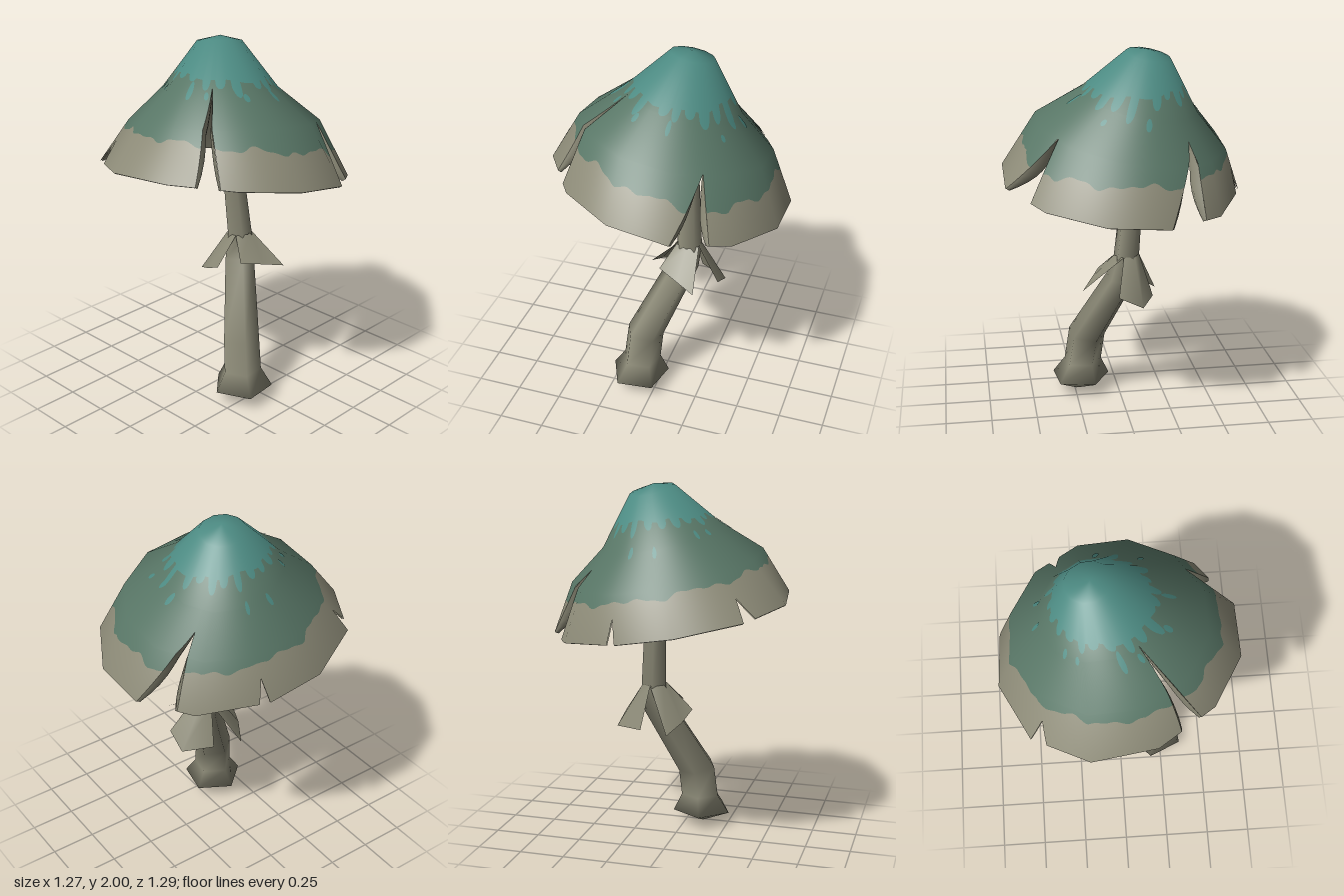
import * as THREE from 'three';

const V = (x, y, z) => new THREE.Vector3(x, y, z);
const RAD = Math.PI / 180;
const clamp = THREE.MathUtils.clamp;

// Cap rings from crown to shoulder: centre x, y, z, radius, tilt along x, tilt along z
const RINGS = [
  [-0.13, 2.0, -0.085, 0, 0, 0],
  [-0.14, 1.97, -0.09, 0.12, 0.17, 0.17],
  [-0.1, 1.73, -0.055, 0.31, 0.18, 0.19],
  [-0.05, 1.56, -0.035, 0.515, 0.14, 0.15],
];
// Uneven rim corners (x, z), starting at +x and turning towards +z
const RIM = [
  [0.635, 0.11], [0.47, 0.39], [0.165, 0.595], [-0.18, 0.64], [-0.48, 0.485], [-0.64, 0.165],
  [-0.63, -0.15], [-0.455, -0.48], [-0.165, -0.65], [0.155, -0.65], [0.45, -0.49], [0.635, -0.21],
];
const SIDES = 12, COLS = 720;

// Tears in the rim: tip angle, tip height on the cap, edge angles at the rim, curl depth and reach
const TEARS = [
  { tip: 327, v: 2.97, lo: 326, hi: 344.5, lip: 0.06, reach: 0.18 },
  { tip: 53, v: 2.0, lo: 52.5, hi: 63, lip: 0.06, reach: 0.25 },
  { tip: 131, v: 3.5, lo: 127, hi: 135, lip: 0 },
  { tip: 196, v: 3.45, lo: 194.5, hi: 199, lip: 0 },
  { tip: 235.5, v: 2.47, lo: 234, hi: 254.5, lip: 0.06, reach: 0.2 },
];

function corner(j, k) {
  if (j === RINGS.length) {
    const [x, z] = RIM[(k + SIDES) % SIDES];
    return V(x, 1.3 + 0.07 * x + 0.17 * z, z);
  }
  const [x, y, z, r, sx, sz] = RINGS[j];
  const a = (15 + (k * 360) / SIDES) * RAD;
  const dx = r * Math.cos(a), dz = r * Math.sin(a);
  return V(x + dx, y + dx * sx + dz * sz, z + dz);
}

function cornerNormal(j, k) {
  if (j === 0) return V(-0.1, 1, -0.15).normalize();
  const around = corner(j, k + 1).sub(corner(j, k - 1));
  const n = V(0, 0, 0);
  for (const [a, b] of [[j - 1, j], [j, j + 1]]) {
    if (b > RINGS.length) continue;
    n.add(around.clone().cross(corner(b, k).sub(corner(a, k))).normalize());
  }
  return n.normalize();
}

// Blend a corner function over the twelve-sided cap
function blend(fn, deg, v) {
  const u = (deg - 15) / (360 / SIDES), k = Math.floor(u), j = Math.min(Math.floor(v), 3);
  const row = (i) => fn(i, k).lerp(fn(i, k + 1), u - k);
  return row(j).lerp(row(j + 1), v - j);
}
const capPoint = (deg, v) => blend(corner, deg, v);
const capNormal = (deg, v) => blend(cornerNormal, deg, v).normalize();

// Where the cap ends at each angle, allowing for the tears
function rimEnd(deg) {
  for (const t of TEARS) {
    if (deg <= t.lo || deg >= t.hi) continue;
    const f = deg < t.tip ? (t.tip - deg) / (t.tip - t.lo) : (deg - t.tip) / (t.hi - t.tip);
    return t.v + (4 - t.v) * f;
  }
  return 4;
}

// Drips round the crown patch: angle, length, half width
const DRIPS = [
  [3, 0.15, 4], [29, 0.38, 3.5], [45, 0.2, 4], [60, 0.22, 3], [78, 0.1, 4], [95, 0.12, 4], [108, 0.18, 3],
  [124, 0.1, 4], [140, 0.2, 4], [157, 0.15, 4], [176, 0.15, 4], [196, 0.3, 3.5], [214, 0.15, 4], [229, 0.25, 4],
  [246, 0.12, 4], [262, 0.22, 4], [289, 0.5, 3.5], [306, 0.28, 4], [322, 0.3, 4], [337, 0.15, 4], [351, 0.25, 3],
];
function crownEdge(deg) {
  const a = deg * RAD;
  let v = 1.67 + 0.2 * Math.cos(a) + 0.06 * Math.sin(a) + 0.03 * Math.sin(7 * a);
  for (const [at, len, w] of DRIPS) {
    const off = Math.abs(((deg - at + 540) % 360) - 180) / (w * 1.4);
    if (off < 1) v += len * Math.sqrt(1 - off * off);
  }
  return v;
}
const bandEdge = (deg) => {
  const a = deg * RAD;
  return 3.28 + 0.12 * Math.cos(a) - 0.075 * Math.sin(a) + 0.1 * Math.exp(-(((deg - 325) / 22) ** 2))
    + 0.04 * Math.sin(9 * a) + 0.03 * Math.sin(17 * a + 2) + 0.02 * Math.sin(31 * a);
};

function buffer(pos, idx, norm) {
  const g = new THREE.BufferGeometry();
  g.setAttribute('position', new THREE.Float32BufferAttribute(pos, 3));
  g.setIndex(idx);
  if (norm) g.setAttribute('normal', new THREE.Float32BufferAttribute(norm, 3));
  else g.computeVertexNormals();
  return g;
}

// A band of the cap between two edges; the underside is flipped and set inwards
function capBand(from, to, under = false) {
  const pos = [], norm = [], idx = [], vs = [], ROWS = 5;
  for (let i = 0; i <= COLS; i++) {
    const deg = (i * 360) / COLS, end = rimEnd(deg);
    const a = Math.min(from(deg), end), b = Math.min(to(deg), end);
    for (const s of [a, 1, 2, 3, b]) {
      const v = clamp(s, a, b), n = capNormal(deg, v), p = capPoint(deg, v);
      if (under) { p.addScaledVector(n, -0.008); n.negate(); }
      pos.push(...p); norm.push(...n); vs.push(v);
    }
  }
  for (let i = 0; i < COLS; i++) for (let r = 0; r < ROWS - 1; r++) {
    const a = i * ROWS + r, b = a + ROWS;
    const add = (x, y, z) => idx.push(...(under ? [x, z, y] : [x, y, z]));
    if (vs[a] !== vs[a + 1]) add(a, b, a + 1);
    if (vs[b] !== vs[b + 1]) add(b, b + 1, a + 1);
  }
  return buffer(pos, idx, norm);
}

// Small oval splash lying on the cap
function splash(deg, v, da, dv) {
  const pos = [], norm = [], idx = [], n = 12;
  for (let i = 0; i <= n; i++) {
    const t = (i / n) * Math.PI * 2, k = i === n ? 0 : 1;
    const a = deg + k * da * Math.cos(t), w = v + k * dv * Math.sin(t), nn = capNormal(a, w);
    pos.push(...capPoint(a, w).addScaledVector(nn, 0.003)); norm.push(...nn);
    if (i < n) idx.push(n, i, (i + 1) % n);
  }
  return buffer(pos, idx, norm);
}

// Curled lip on one edge of a tear: into the gap, then rolled back under the cap
function tearLip(t, edge) {
  const pos = [], idx = [], n = 8, other = edge === t.lo ? t.hi : t.lo;
  for (let i = 0; i <= n; i++) {
    const f = i / n, v = t.v + (4 - t.v) * f;
    const a = t.tip + (edge - t.tip) * f, b = t.tip + (other - t.tip) * f;
    const p = capPoint(a, v), gap = capPoint(b, v).sub(p), nn = capNormal(a, v);
    const s = Math.sin(Math.PI * Math.min(1, f * 0.85 + 0.05));
    for (const [side, depth] of [[0, 0], [1, 0.6], [0.2, 1.2]]) {
      pos.push(...p.clone().addScaledVector(gap, side * t.reach * s).addScaledVector(nn, -depth * t.lip * s));
    }
    if (i < n) for (const q of [3 * i, 3 * i + 1]) idx.push(q, q + 1, q + 3, q + 1, q + 4, q + 3);
  }
  return buffer(pos, idx);
}

// Bent five-sided stem through rings of centre x, y, z and radius
function stemGeometry() {
  const rings = [
    [0.24, 0, 0.1, 0.002], [0.22, 0.08, 0.1, 0.17], [0.207, 0.18, 0.092, 0.111], [0.183, 0.35, 0.078, 0.107],
    [0.005, 0.74, -0.092, 0.088], [-0.017, 0.87, -0.119, 0.073], [-0.067, 1.4, -0.092, 0.058], [-0.1, 1.78, -0.07, 0.054],
  ];
  const pos = [], idx = [], n = 5;
  rings.forEach(([x, y, z, r], j) => {
    for (let i = 0; i < n; i++) {
      const a = (i / n) * Math.PI * 2 + 30 * RAD, c = r * Math.cos(a), s = r * Math.sin(a);
      const tilt = j === 3 || j === 4 ? 0.15 : 0;
      pos.push(x + c, y + tilt * (c + s), z + s);
      if (j === rings.length - 1) continue;
      const p = j * n + i, q = j * n + ((i + 1) % n);
      idx.push(p, p + n, q, q, p + n, q + n);
    }
  });
  return buffer(pos, idx);
}

// Skirt flap: an arc on the stem spread out to a few tip points
function flapGeometry(from, to, tips) {
  const pos = [], idx = [], n = tips.length;
  tips.forEach((t, i) => {
    const a = (from + ((to - from) * i) / (n - 1)) * RAD;
    pos.push(-0.018 + 0.07 * Math.cos(a), 0.885, -0.118 + 0.07 * Math.sin(a), ...t);
    if (i < n - 1) idx.push(2 * i, 2 * i + 2, 2 * i + 1, 2 * i + 1, 2 * i + 2, 2 * i + 3);
  });
  return buffer(pos, idx);
}

export function createModel() {
  const model = new THREE.Group();
  const material = (name, color, side = THREE.FrontSide) => {
    const m = new THREE.MeshStandardMaterial({ color, side });
    m.name = name;
    return m;
  };
  const flesh = material('flesh', 0x8c8a77, THREE.DoubleSide);
  const green = material('mossGreen', 0x587666);
  const teal = material('teal', 0x4c8a82);
  const add = (name, geometry, mat, parent = model) => {
    const mesh = new THREE.Mesh(geometry, mat);
    mesh.name = name;
    parent.add(mesh);
  };

  // Cap
  const cap = new THREE.Group();
  cap.name = 'cap';
  model.add(cap);
  add('capCrown', capBand(() => 0, crownEdge), teal, cap);
  add('capMiddle', capBand(crownEdge, bandEdge), green, cap);
  add('capRim', capBand(bandEdge, () => 4), flesh, cap);
  add('capUnderside', capBand(() => 0, () => 4, true), flesh, cap);
  for (const [a, v, da, dv] of [
    [270, 2.12, 2.7, 0.15], [307, 2.3, 2, 0.08], [354, 2.22, 2, 0.16], [24, 2.26, 2.5, 0.1], [170, 2.08, 2, 0.14],
    [193, 2.02, 2, 0.13], [125, 1.97, 2, 0.1], [112, 2.02, 2, 0.08], [73.5, 2.1, 2.7, 0.22], [58, 2.22, 2, 0.1],
  ]) add('splash', splash(a, v, da, dv), teal, cap);
  for (const t of TEARS) if (t.lip) for (const e of [t.lo, t.hi]) add('tearLip', tearLip(t, e), flesh, cap);

  // Stem and torn skirt
  add('stem', stemGeometry(), flesh);
  add('skirtFrontFlap', flapGeometry(185, 60, [[-0.2, 0.64, 0.0], [-0.09, 0.69, 0.06], [0.02, 0.74, 0.09]]), flesh);
  add('skirtSideFlap', flapGeometry(60, -70, [[0.12, 0.77, 0.01], [0.18, 0.745, -0.11], [0.235, 0.72, -0.22]]), flesh);
  add('skirtBackFlap', flapGeometry(290, 185, [[0.05, 0.7, -0.31], [-0.08, 0.64, -0.32], [-0.16, 0.65, -0.16]]), flesh);
  return model;
}
